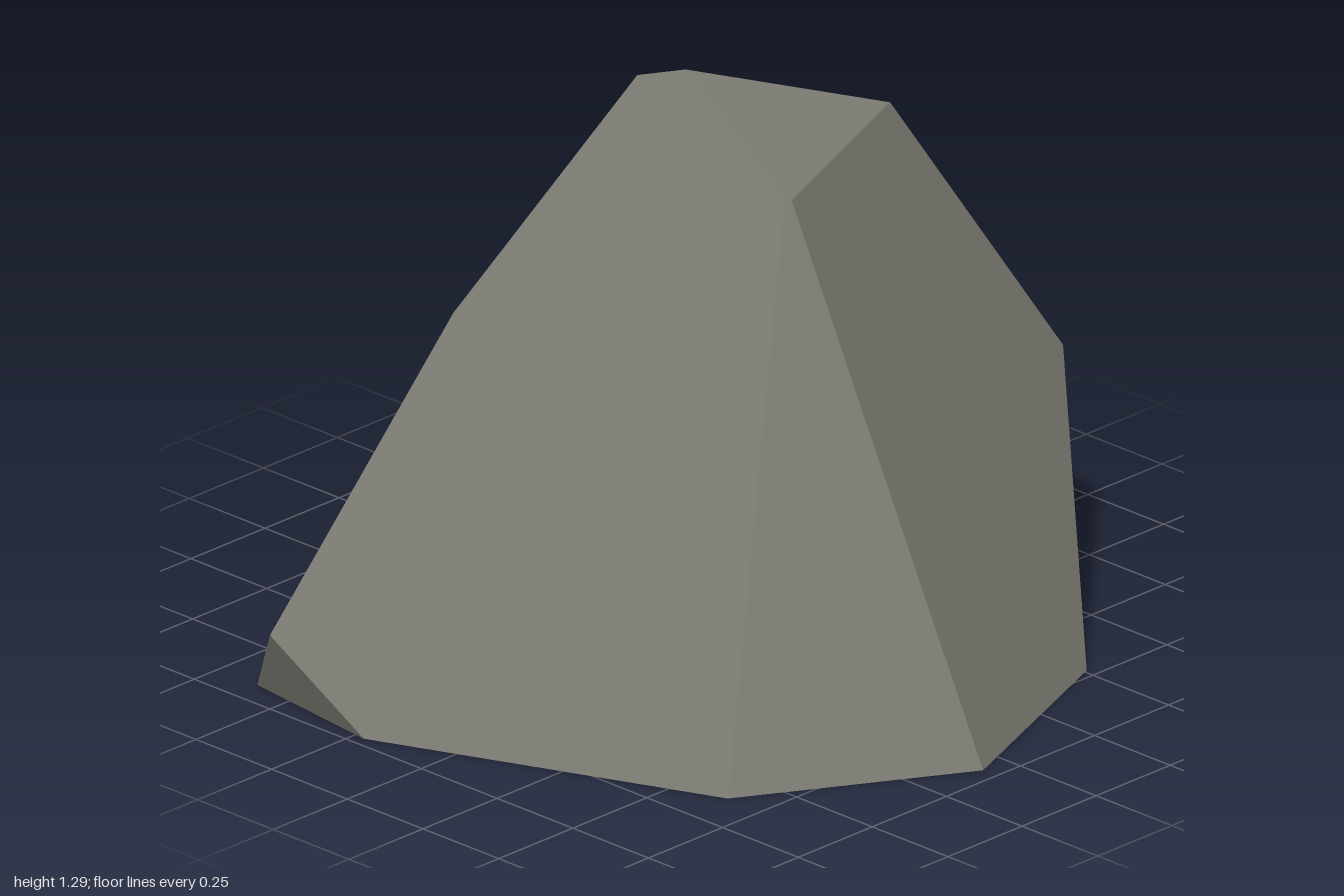
import * as THREE from 'three';
import { ConvexGeometry } from 'three/addons/geometries/ConvexGeometry.js';

export function createModel() {
  const group = new THREE.Group();
  group.name = 'rock';
  const stone = new THREE.MeshStandardMaterial({ color: 0x7c7c73 });
  stone.name = 'stone grey';

  // Outline on the ground, as x, z
  const base = [
    [-0.935, -0.66], [-0.11, -1], [0.72, -0.51], [0.955, 0.08],
    [0.64, 0.62], [-0.22, 0.97], [-0.62, 0.92], [-0.7, 0.74],
  ].map(([x, z]) => new THREE.Vector3(x, 0, z));

  // Corners where the cut facets meet, as x, y, z
  const corners = [
    [-0.96, 0.455, -0.43], [0.28, 0.588, -0.88], [-0.5, 0.19, 1], [-0.32, 0.94, 0.565],
    [-0.5, 1.245, -0.24], [-0.37, 1.29, -0.27],
    [0.11, 1.29, -0.47], [0.347, 1.29, 0.105], [0.34, 1.29, 0.122],
  ].map((p) => new THREE.Vector3(...p));

  // Faceted boulder: the convex hull of all corners, with flat normals
  const boulder = new THREE.Mesh(new ConvexGeometry([...base, ...corners]), stone);
  boulder.name = 'boulder';
  group.add(boulder);
  return group;
}
